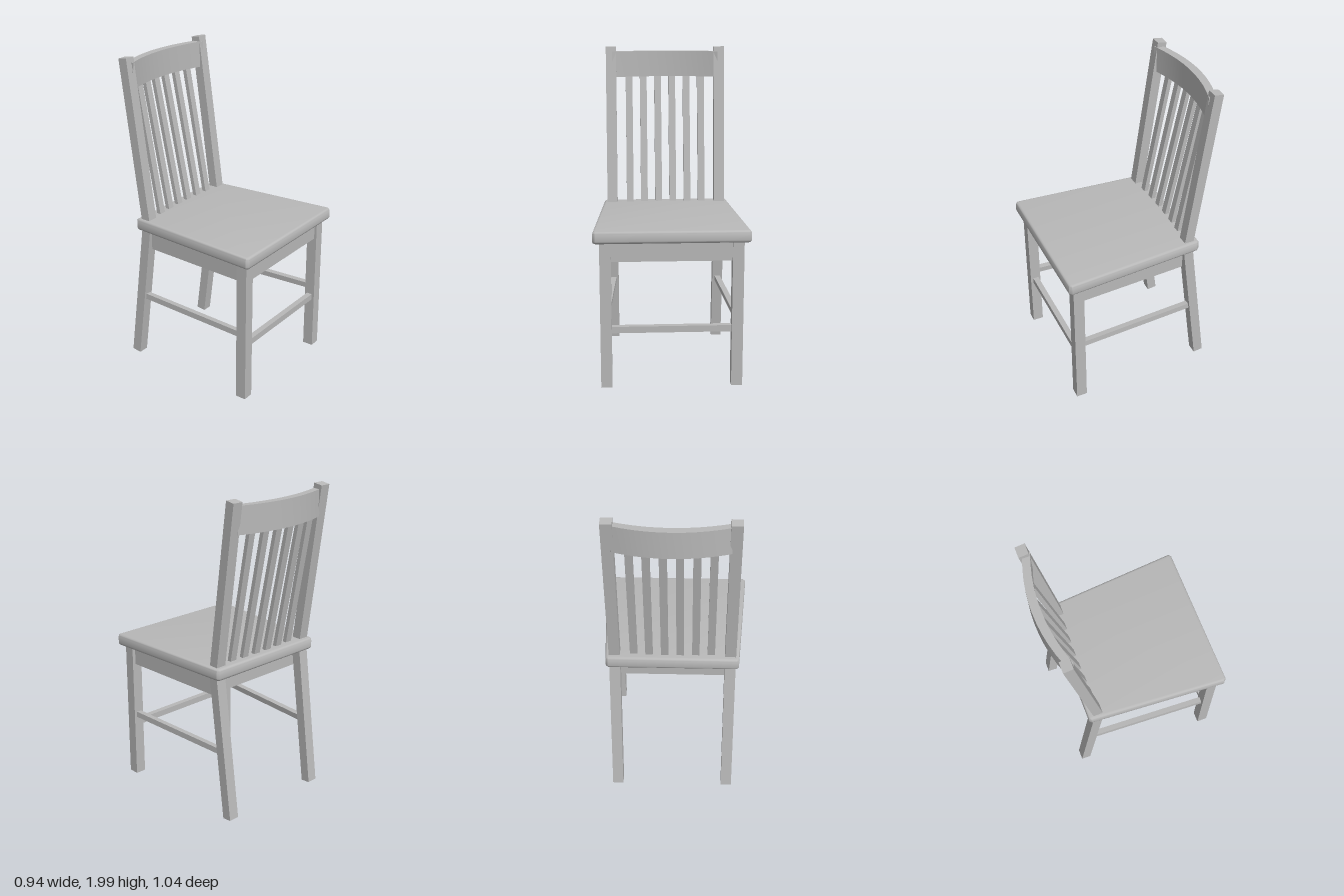
import * as THREE from 'three';
import { toCreasedNormals } from 'three/addons/utils/BufferGeometryUtils.js';

const UP = new THREE.Vector3(0, 1, 0);

export function createModel() {
  const chair = new THREE.Group();
  chair.name = 'chair';
  const wood = new THREE.MeshStandardMaterial({ color: 0xb8b8b8 });
  wood.name = 'grey wood';

  const add = (name, geometry) => {
    const mesh = new THREE.Mesh(geometry, wood);
    mesh.name = name;
    chair.add(mesh);
    return mesh;
  };

  // Straight square-cut bar between two points
  const bar = (name, from, to, w, d) => {
    const a = new THREE.Vector3(...from), b = new THREE.Vector3(...to);
    const dir = b.clone().sub(a);
    const mesh = add(name, new THREE.BoxGeometry(w, dir.length(), d));
    mesh.position.copy(a).add(b).multiplyScalar(0.5);
    mesh.quaternion.setFromUnitVectors(UP, dir.normalize());
  };

  // Box given by its limits
  const block = (name, x0, x1, y0, y1, z0, z1) => {
    const mesh = add(name, new THREE.BoxGeometry(x1 - x0, y1 - y0, z1 - z0));
    mesh.position.set((x0 + x1) / 2, (y0 + y1) / 2, (z0 + z1) / 2);
  };

  // Plan outline (x, z) raised to a given height
  const slab = (points, y0, options) => {
    const shape = new THREE.Shape(points.map(([x, z]) => new THREE.Vector2(x, -z)));
    const g = new THREE.ExtrudeGeometry(shape, options);
    g.rotateX(-Math.PI / 2).translate(0, y0, 0);
    return toCreasedNormals(g, 0.65);
  };

  // Tapered seat with rounded rim and clipped corners
  const c = 0.004, r = 0.018;
  const rightHalf = [[0.45 - c, 0.499], [0.45, 0.499 - c], [0.388, -0.36 + c], [0.388 - c, -0.36]];
  const outline = [...rightHalf, ...rightHalf.map(([x, z]) => [-x, z]).reverse()];
  add('seat', slab(outline, 0.915 + r, {
    depth: 0.075 - 2 * r, bevelEnabled: true, bevelSize: r, bevelThickness: r, bevelSegments: 4,
  }));

  for (const s of [1, -1]) {
    const side = s > 0 ? 'left' : 'right';
    // Legs and back posts
    block(side + 'FrontLeg', s * 0.395 - 0.034, s * 0.395 + 0.034, 0.008, 0.925, 0.412, 0.48);
    bar(side + 'BackLeg', [s * 0.353, 0.01, -0.43], [s * 0.353, 0.94, -0.309], 0.067, 0.062);
    bar(side + 'BackPost', [s * 0.353, 0.96, -0.31], [s * 0.353, 1.993, -0.453], 0.067, 0.06);
    // Side stretcher
    bar(side + 'Stretcher', [s * 0.395, 0.437, 0.43], [s * 0.352, 0.437, -0.36], 0.035, 0.036);
    // Side apron, sheared to follow the seat taper
    const apron = new THREE.BoxGeometry(0.036, 0.13, 0.71);
    const p = apron.attributes.position;
    for (let i = 0; i < p.count; i++) p.setX(i, p.getX(i) + s * (0.372 + 0.055 * p.getZ(i)));
    apron.translate(0, 0.86, 0.075);
    apron.computeVertexNormals();
    add(side + 'Apron', apron);
  }

  // Front and back aprons, front stretcher
  block('frontApron', -0.37, 0.37, 0.795, 0.925, 0.428, 0.464);
  block('backApron', -0.345, 0.345, 0.795, 0.925, -0.28, -0.244);
  block('frontStretcher', -0.37, 0.37, 0.35, 0.39, 0.427, 0.463);

  // Curved top rail
  const railZ = (x) => -0.47 + 0.06 * (x / 0.345) ** 2;
  const front = [], back = [];
  for (let i = 0; i <= 10; i++) {
    const t = i / 5 - 1;
    front.push([t * 0.345, railZ(t * 0.345)]);
    back.unshift([t * 0.332, railZ(t * 0.345) - 0.05]);
  }
  add('topRail', slab([...front, ...back], 1.8, { depth: 0.165, bevelEnabled: false }));

  // Back slats fanning out towards the rail
  for (const x of [-0.236, -0.142, -0.047, 0.047, 0.142, 0.236]) {
    const bottom = -0.317 + 0.15 * x * x;
    bar('backSlat', [x, 0.97, bottom], [x, 1.82, railZ(x) - 0.024], 0.045, 0.026);
  }
  return chair;
}
